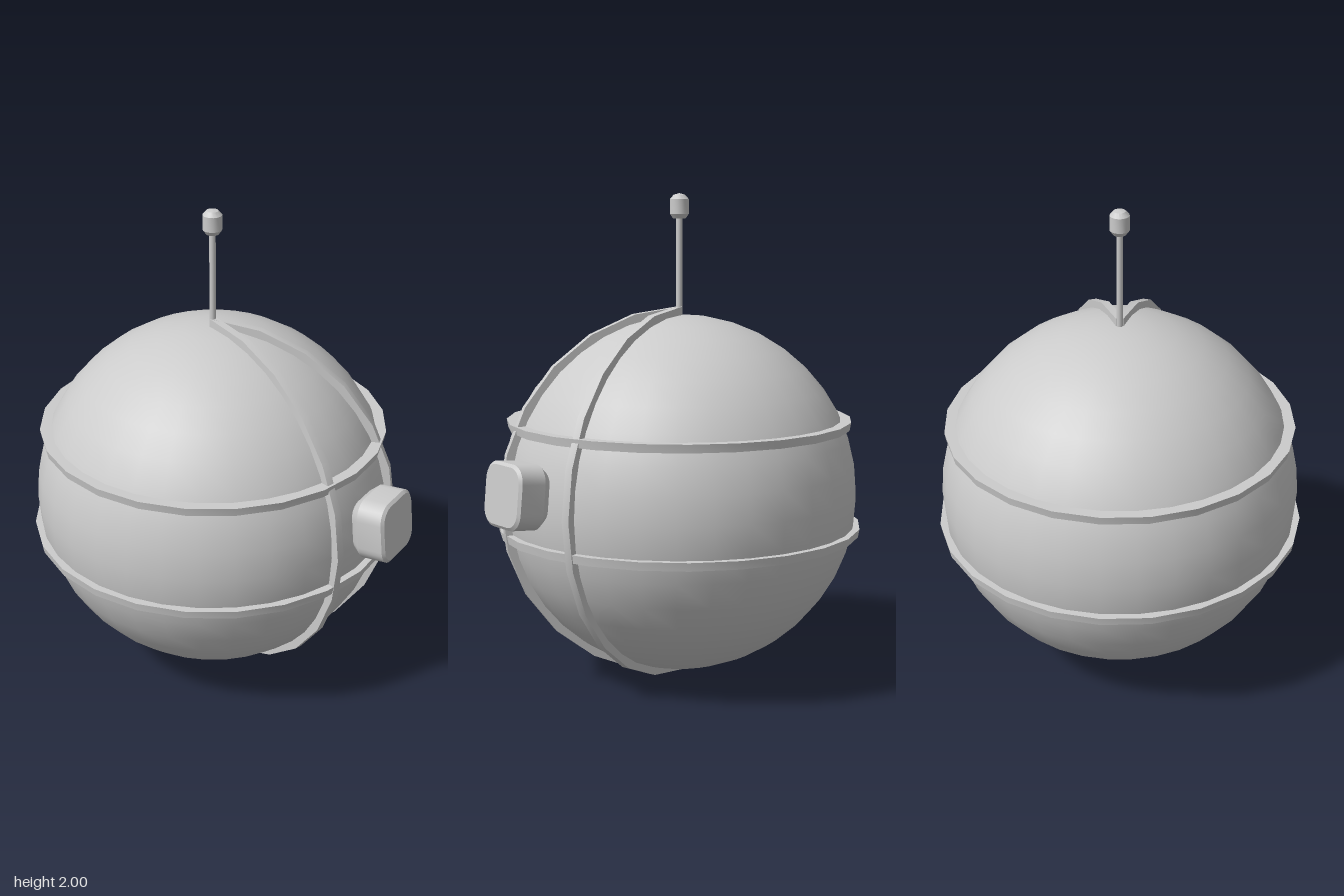
import * as THREE from 'three';
import { toCreasedNormals } from 'three/addons/utils/BufferGeometryUtils.js';

const material = new THREE.MeshStandardMaterial({ color: 0xcccccc });
const RADIUS = 0.737;

function addMesh(parent, name, geometry) {
  const mesh = new THREE.Mesh(geometry, material);
  mesh.name = name;
  parent.add(mesh);
  return mesh;
}

// Solid of revolution with crisp profile edges, profile listed bottom to top
function turned(profile, segments) {
  const points = profile.map(([r, y]) => new THREE.Vector2(r, y));
  return toCreasedNormals(new THREE.LatheGeometry(points, segments), 0.5);
}

// Horizontal band with a rectangular section
function bandGeometry(inner, outer, y, height) {
  const a = y - height / 2, b = y + height / 2;
  return turned([[inner, a], [outer - 0.006, a], [outer, b], [inner, b]], 24);
}

// Half-circle rib from pole to pole
function ribGeometry(inner, outer, width) {
  const steps = 12, points = [];
  const at = (r, i) => {
    const t = -Math.PI / 2 + (Math.PI * i) / steps;
    return new THREE.Vector2(r * Math.cos(t), r * Math.sin(t));
  };
  for (let i = 0; i <= steps; i++) points.push(at(outer, i));
  for (let i = steps; i >= 0; i--) points.push(at(inner, i));
  const g = new THREE.ExtrudeGeometry(new THREE.Shape(points), { depth: width, bevelEnabled: false });
  g.translate(0, 0, -width / 2);
  return toCreasedNormals(g, 0.5);
}

// Loft through rounded squares, each given as [half size, corner radius, z], capped at both ends
function roundedLoft(sections) {
  const cornerSteps = 6, count = 4 * (cornerSteps + 1);
  const position = [], index = [];
  for (const [half, radius, z] of sections) {
    for (let c = 0; c < 4; c++) {
      const middle = Math.PI / 4 + (c * Math.PI) / 2;
      const cx = Math.sign(Math.cos(middle)) * (half - radius);
      const cy = Math.sign(Math.sin(middle)) * (half - radius);
      for (let i = 0; i <= cornerSteps; i++) {
        const t = (c + i / cornerSteps) * Math.PI / 2;
        position.push(cx + radius * Math.cos(t), cy + radius * Math.sin(t), z);
      }
    }
  }
  for (let s = 0; s < sections.length - 1; s++) {
    for (let i = 0; i < count; i++) {
      const a = s * count + i, b = s * count + (i + 1) % count;
      index.push(a, b, b + count, a, b + count, a + count);
    }
  }
  const last = (sections.length - 1) * count;
  for (let i = 1; i < count - 1; i++) {
    index.push(0, i + 1, i);
    index.push(last, last + i, last + i + 1);
  }
  const g = new THREE.BufferGeometry();
  g.setAttribute('position', new THREE.Float32BufferAttribute(position, 3));
  g.setIndex(index);
  return toCreasedNormals(g, 0.5);
}

export function createModel() {
  const model = new THREE.Group();
  model.name = 'bandedSphere';

  // Everything is arranged around the centre of the sphere
  const body = new THREE.Group();
  body.name = 'body';
  body.position.set(0, 0.77, -0.06);
  model.add(body);

  addMesh(body, 'sphere', new THREE.SphereGeometry(RADIUS, 32, 20));

  // Horizontal bands
  addMesh(body, 'upperBand', bandGeometry(0.64, 0.713, 0.293, 0.034));
  addMesh(body, 'lowerBand', bandGeometry(0.69, 0.755, -0.146, 0.034));

  // Two vertical ribs on the front half, meeting at the poles
  const rib = ribGeometry(0.7, 0.77, 0.032);
  for (const [name, angle] of [['rightRib', -0.197], ['leftRib', 0.4]]) {
    addMesh(body, name, rib).rotation.y = angle - Math.PI / 2;
  }

  // Rounded housing pointing outward from the sphere
  const housing = addMesh(body, 'frontHousing', roundedLoft([
    [0.07, 0.04, 0.69],
    [0.1, 0.055, 0.72],
    [0.128, 0.07, 0.76],
    [0.128, 0.07, 0.864],
    [0.116, 0.06, 0.874],
  ]));
  housing.rotation.set(-0.096, 0.095, 0, 'YXZ');

  // Antenna with a domed knob
  const rod = addMesh(body, 'antennaRod', new THREE.CylinderGeometry(0.013, 0.013, 0.43, 12));
  rod.position.y = 0.925;
  addMesh(body, 'antennaKnob', turned([
    [0, 1.128], [0.026, 1.128], [0.039, 1.146], [0.039, 1.206], [0.024, 1.223], [0, 1.23],
  ], 16));

  return model;
}
